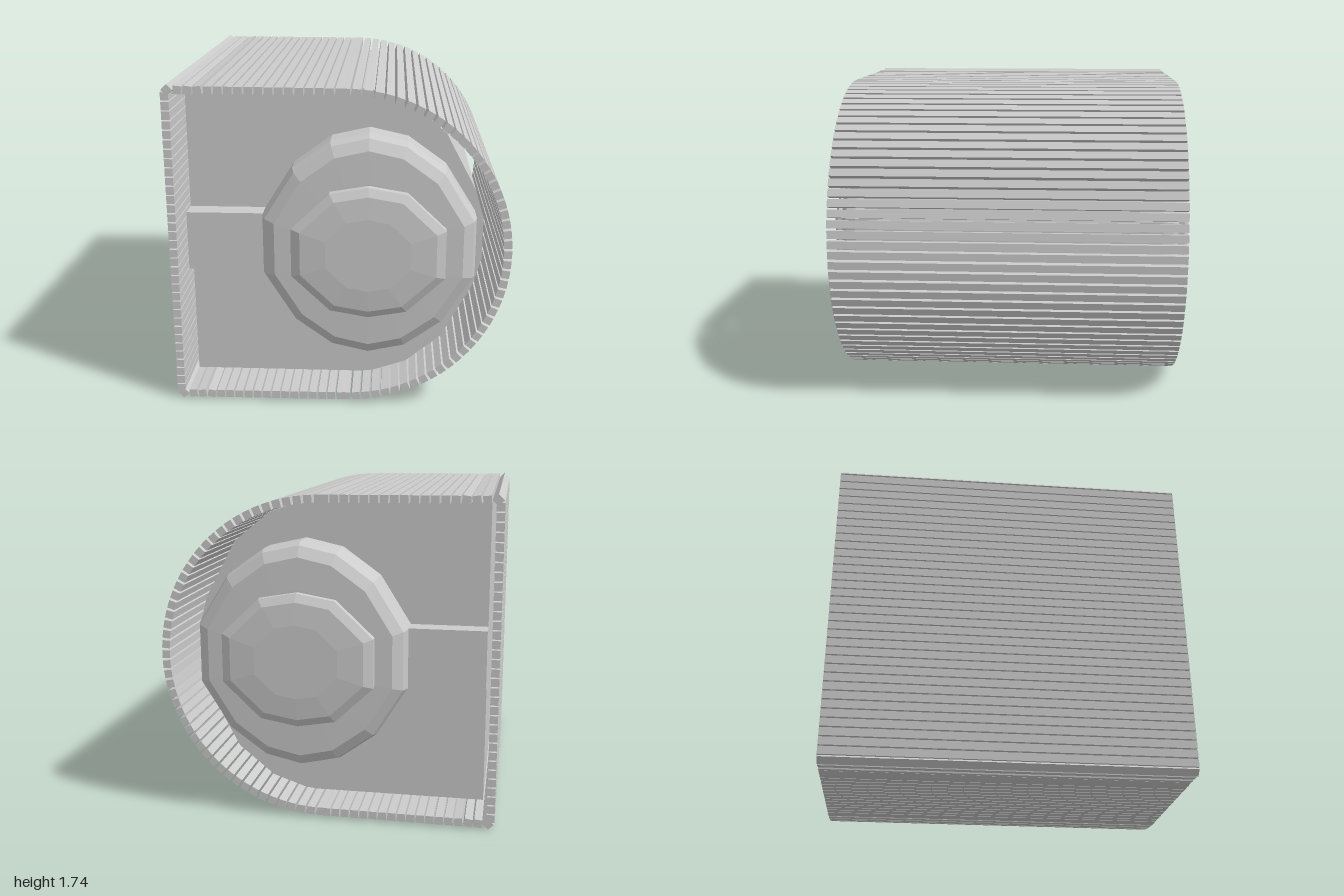
import * as THREE from 'three';

const CY = 0.87, HUB_X = 0.15;

// Mirror the upper-right quarter of an outline around both axes of the hub
function mirrorQuarter(quarter) {
  const right = [...quarter, ...quarter.filter(([, y]) => y > 0).reverse().map(([x, y]) => [x, -y])];
  const left = right.filter(([x]) => x > 0).reverse().map(([x, y]) => [-x, y]);
  return [...right, ...left]; // clockwise
}

// Solid through the whole depth: the outline is scaled along [z, scale] sections, closed at both ends
function loft(outline, sections) {
  const pos = [], idx = [], n = outline.length;
  const full = [...sections.map(([z, s]) => [-z, s]).reverse(), ...sections];
  for (const [z, s] of full) for (const [x, y] of outline) pos.push(x * s, y * s, z);
  for (let k = 0; k < full.length - 1; k++) {
    for (let i = 0; i < n; i++) {
      const a = k * n + i, b = k * n + (i + 1) % n;
      idx.push(a, a + n, b, b, a + n, b + n);
    }
  }
  const back = pos.length / 3, last = (full.length - 1) * n;
  pos.push(0, 0, full[0][0], 0, 0, full[full.length - 1][0]);
  for (let i = 0; i < n; i++) {
    const j = (i + 1) % n;
    idx.push(back, i, j, back + 1, last + j, last + i);
  }
  const g = new THREE.BufferGeometry();
  g.setAttribute('position', new THREE.Float32BufferAttribute(pos, 3));
  g.setIndex(idx);
  const flat = g.toNonIndexed();
  flat.computeVertexNormals();
  return flat;
}

export function createModel() {
  const group = new THREE.Group();
  const mat = new THREE.MeshStandardMaterial({ color: 0xcccccc, flatShading: true });
  const add = (parent, name, geometry, x = 0, y = 0, z = 0) => {
    const m = new THREE.Mesh(geometry, mat);
    m.name = name;
    m.position.set(x, y, z);
    parent.add(m);
    return m;
  };

  // D-shaped inner block, recessed from both ends of the slats
  const upper = [[0.76, 0.115], [0.715, 0.27], [0.55, 0.58], [0.355, 0.74], [0.15, 0.81], [-0.82, 0.81]];
  const lower = upper.map(([x, y]) => [x, -y]).reverse();
  const shape = new THREE.Shape([...upper, ...lower].map(([x, y]) => new THREE.Vector2(x, y)));
  const core = new THREE.ExtrudeGeometry(shape, { depth: 1.4, bevelEnabled: false });
  core.translate(0, 0, -0.7);
  add(group, 'core', core, 0, CY);

  // Flat bar joining the wheel to the straight wall
  add(group, 'crossBar', new THREE.BoxGeometry(0.62, 0.32, 1.62), -0.51, CY);

  // Bevelled wheel and smaller raised hub, passing through both ends
  const wheel = mirrorQuarter([[0, 0.61], [0.2, 0.565], [0.4, 0.42], [0.562, 0.16]]);
  add(group, 'wheel', loft(wheel, [[0.83, 1], [0.885, 0.97], [0.92, 0.875], [0.925, 0.6]]), HUB_X, CY);
  const hub = mirrorQuarter([[0, 0.355], [0.2, 0.32], [0.4, 0.13]]);
  add(group, 'hub', loft(hub, [[0.965, 1], [0.99, 0.88], [1, 0.55]]), HUB_X, CY);

  // Ring of separate slats around the block
  const slats = new THREE.Group();
  slats.name = 'slats';
  group.add(slats);
  const slatGeo = new THREE.BoxGeometry(0.042, 0.042, 1.89);
  const slat = (x, y, angle = 0) => {
    add(slats, 'slat', slatGeo, x, y).rotation.z = angle;
  };

  // Straight wall
  for (let i = 0; i < 34; i++) slat(-0.868, 0.062 + i * 1.616 / 33);

  // Flat runs and turned corner slats, above and below
  for (const side of [1, -1]) {
    slat(-0.856, CY + side * 0.84, side * Math.PI / 4);
    for (let i = 0; i < 17; i++) {
      const tilt = i < 4 ? [-0.1, -0.15, 0.15, 0.05][i] : 0;
      slat(-0.803 + i * 0.0505, CY + side * (0.84 - i * 0.0003), side * tilt);
    }
  }

  // Rounded wall
  const arcCount = 48, radius = 0.834;
  for (let i = 0; i <= arcCount; i++) {
    const a = Math.PI * (i / arcCount - 0.5);
    slat(0.034 + Math.cos(a) * radius, CY + Math.sin(a) * radius, a);
  }
  return group;
}
